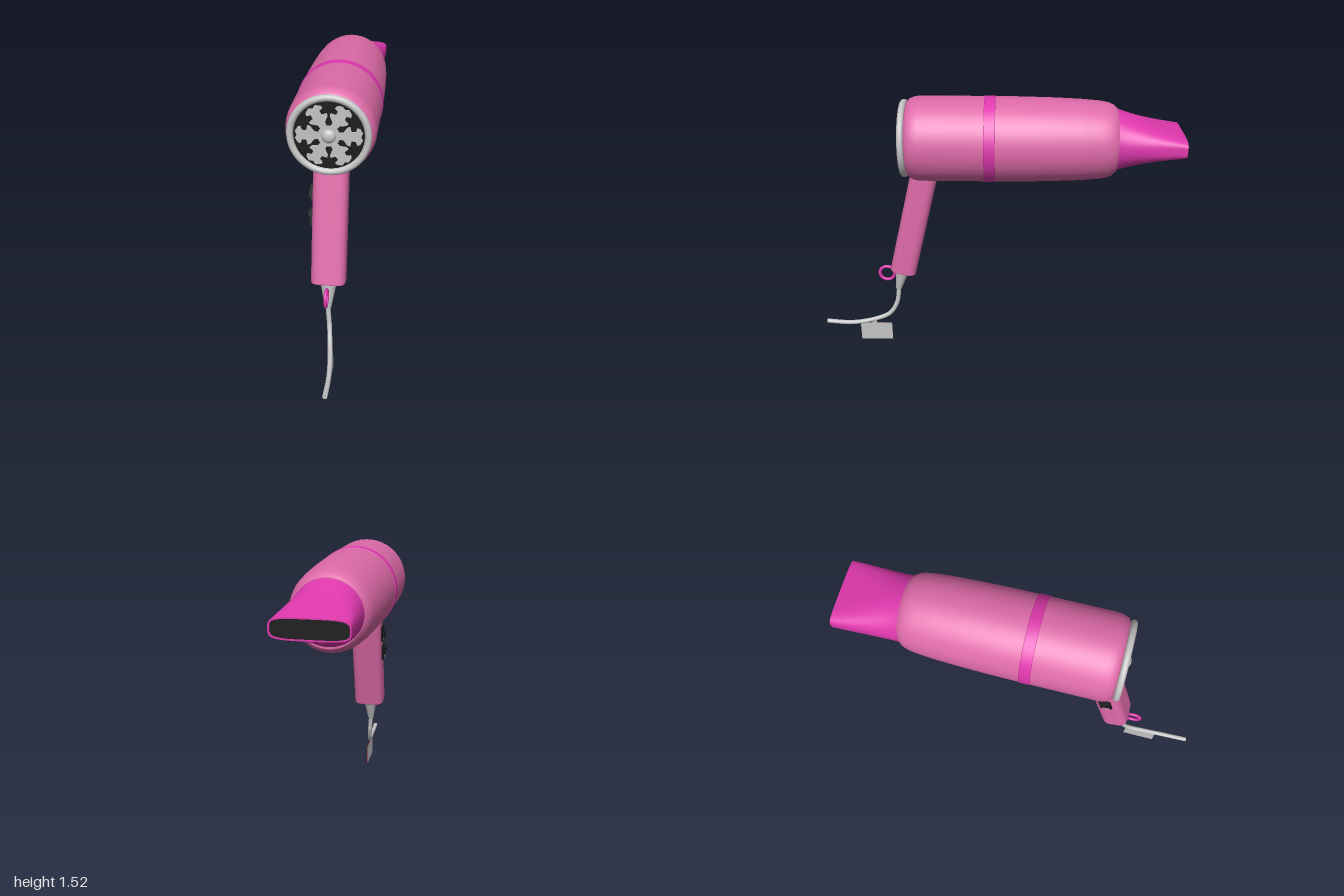
import * as THREE from 'three';

const mat = (name, color, side = THREE.FrontSide) => {
  const m = new THREE.MeshStandardMaterial({ color, side });
  m.name = name;
  return m;
};

export function createModel() {
  const pink = mat('bodyPink', 0xdd6aa8);
  const magenta = mat('accentMagenta', 0xde38ac);
  const grey = mat('lightGrey', 0xc4c4c4);
  const black = mat('black', 0x1c1c1c);
  const red = mat('tagEdgeRed', 0x8a2020);

  const model = new THREE.Group();
  model.name = 'hairDryer';
  const add = (parent, name, geo, material, x = 0, y = 0, z = 0) => {
    const m = new THREE.Mesh(geo, material);
    m.name = name;
    m.position.set(x, y, z);
    parent.add(m);
    return m;
  };
  const lathe = (pts) => new THREE.LatheGeometry(pts.map(([r, z]) => new THREE.Vector2(r, z)), 64).rotateX(Math.PI / 2);

  // Barrel, lying along z
  const barrel = new THREE.Group();
  barrel.name = 'barrel';
  barrel.position.y = 1.291;
  model.add(barrel);
  add(barrel, 'shell', lathe([
    [0, -0.652], [0.168, -0.652], [0.174, -0.65], [0.19, -0.63], [0.2, -0.605], [0.208, -0.56], [0.216, -0.46],
    [0.222, -0.32], [0.226, -0.15], [0.227, 0], [0.227, 0.39], [0.223, 0.42], [0.213, 0.445], [0.197, 0.459],
    [0.19, 0.46], [0, 0.46],
  ]), pink);
  add(barrel, 'band', lathe([[0.22, -0.012], [0.229, -0.012], [0.23, -0.009], [0.23, 0.044], [0.229, 0.047], [0.22, 0.047]]), magenta);

  // Intake grille: dark disc, six branching spokes, domed hub, rim
  add(barrel, 'rim', new THREE.TorusGeometry(0.191, 0.0175, 16, 72), grey, 0, 0, 0.477);
  add(barrel, 'grilleBack', new THREE.CircleGeometry(0.19, 64), black, 0, 0, 0.476);
  const half = [[0.02, 0.012], [0.07, 0.02], [0.09, 0.046], [0.104, 0.05], [0.11, 0.024], [0.13, 0.024],
    [0.138, 0.045], [0.152, 0.04], [0.165, 0.018], [0.156, 0]];
  const outline = [...half, ...half.slice(0, -1).reverse().map(([u, v]) => [u, -v])];
  const spoke = new THREE.ExtrudeGeometry(
    new THREE.Shape(outline.map(([u, v]) => new THREE.Vector2(u, v))), { depth: 0.005, bevelEnabled: false });
  for (let i = 0; i < 6; i++) {
    add(barrel, 'grilleSpoke', spoke, grey, 0, 0, 0.476).rotation.z = i * Math.PI / 3;
  }
  add(barrel, 'grilleCentre', new THREE.CircleGeometry(0.055, 32), grey, 0, 0, 0.482);
  const hub = add(barrel, 'hub', new THREE.SphereGeometry(0.036, 24, 16), grey, 0, 0, 0.484);
  hub.scale.z = 0.7;

  // Nozzle: round to flat slot, lofted from superellipses
  const N = 64;
  const section = (w, h, n) => Array.from({ length: N }, (_, j) => {
    const a = j / N * Math.PI * 2, p = (v) => Math.sign(v) * Math.abs(v) ** (2 / n);
    return new THREE.Vector2(w * p(Math.cos(a)), h * p(Math.sin(a)));
  });
  const rows = [];
  for (let i = 0; i <= 12; i++) {
    const t = i / 12;
    rows.push([-0.645 - 0.355 * t, 0.174 + 0.01 * t, 0.166 - 0.145 * t + 0.03 * t * t, 2 + 2.2 * t * t]);
  }
  rows.push([-1, 0.184, 0.051, 4.2], [-1, 0.176, 0.045, 4.2], [-1, 0.176, 0.045, 4.2], [-0.985, 0.176, 0.045, 4.2]);
  const pos = [], idx = [];
  rows.forEach(([z, w, h, n], i) => {
    section(w, h, n).forEach((p) => pos.push(p.x, p.y, z));
    if (i === 0) return;
    for (let j = 0; j < N; j++) {
      const a = (i - 1) * N + j, b = i * N + j, c = (i - 1) * N + (j + 1) % N, d = i * N + (j + 1) % N;
      idx.push(a, b, c, b, d, c);
    }
  });
  const nozzle = new THREE.BufferGeometry();
  nozzle.setAttribute('position', new THREE.Float32BufferAttribute(pos, 3));
  nozzle.setIndex(idx);
  nozzle.computeVertexNormals();
  add(barrel, 'nozzle', nozzle, magenta, 0, 0.004, 0);
  add(barrel, 'nozzleOpening', new THREE.ShapeGeometry(new THREE.Shape(section(0.177, 0.046, 4.2))).rotateY(Math.PI),
    black, 0, 0.004, -0.993);

  // Handle, leaning forward towards its foot
  const handle = new THREE.Group();
  handle.name = 'handle';
  handle.position.set(0, 0.488, 0.522);
  handle.rotation.x = -0.235;
  model.add(handle);
  const W = 0.084, D = 0.068, R = 0.045;
  const s = new THREE.Shape();
  s.moveTo(-W + R, -D);
  s.lineTo(W - R, -D).quadraticCurveTo(W, -D, W, -D + R);
  s.lineTo(W, D - R).quadraticCurveTo(W, D, W - R, D);
  s.lineTo(-W + R, D).quadraticCurveTo(-W, D, -W, D - R);
  s.lineTo(-W, -D + R).quadraticCurveTo(-W, -D, -W + R, -D);
  add(handle, 'grip', new THREE.ExtrudeGeometry(s, {
    depth: 0.7, bevelSize: 0.006, bevelThickness: 0.006, bevelSegments: 2, curveSegments: 10,
  }).rotateX(-Math.PI / 2), pink, 0, 0.006, 0);

  // Two sliding switches on the right side
  for (const y of [0.48, 0.352]) {
    add(handle, 'switchPlate', new THREE.BoxGeometry(0.016, 0.09, 0.066), black, -0.092, y, 0);
    add(handle, 'switchButton', new THREE.BoxGeometry(0.014, 0.036, 0.042), black, -0.104, y + (y > 0.4 ? -0.01 : 0.015), 0);
    add(handle, 'switchMark', new THREE.BoxGeometry(0.004, 0.008, 0.034), grey, -0.0995, y - 0.035, 0);
  }

  // Strain relief and hanging ring
  const relief = add(model, 'strainRelief', new THREE.CylinderGeometry(0.044, 0.016, 0.15, 24), grey, 0, 0.417, 0.546);
  relief.rotation.x = -0.217;
  add(model, 'hangingRing', new THREE.TorusGeometry(0.043, 0.009, 12, 40).rotateY(Math.PI / 2), magenta, 0, 0.45, 0.624);

  // Cord
  const path = new THREE.CatmullRomCurve3([
    [0, 0.36, 0.56], [0.004, 0.3, 0.566], [0.009, 0.25, 0.577], [0.017, 0.18, 0.622], [0.03, 0.142, 0.72],
    [0.04, 0.124, 0.85], [0.041, 0.133, 1],
  ].map((p) => new THREE.Vector3(...p)));
  add(model, 'cord', new THREE.TubeGeometry(path, 40, 0.013, 12), grey);
  add(model, 'cordEnd', new THREE.CircleGeometry(0.013, 12), grey, 0.041, 0.133, 1);

  // Tag hanging from the cord, with dark edges
  const edged = [grey, grey, red, red, red, red];
  add(model, 'tag', new THREE.BoxGeometry(0.004, 0.118, 0.19), edged, 0.031, 0.059, 0.707);
  add(model, 'tagLoop', new THREE.BoxGeometry(0.004, 0.03, 0.03), edged, 0.031, 0.13, 0.717);

  return model;
}
